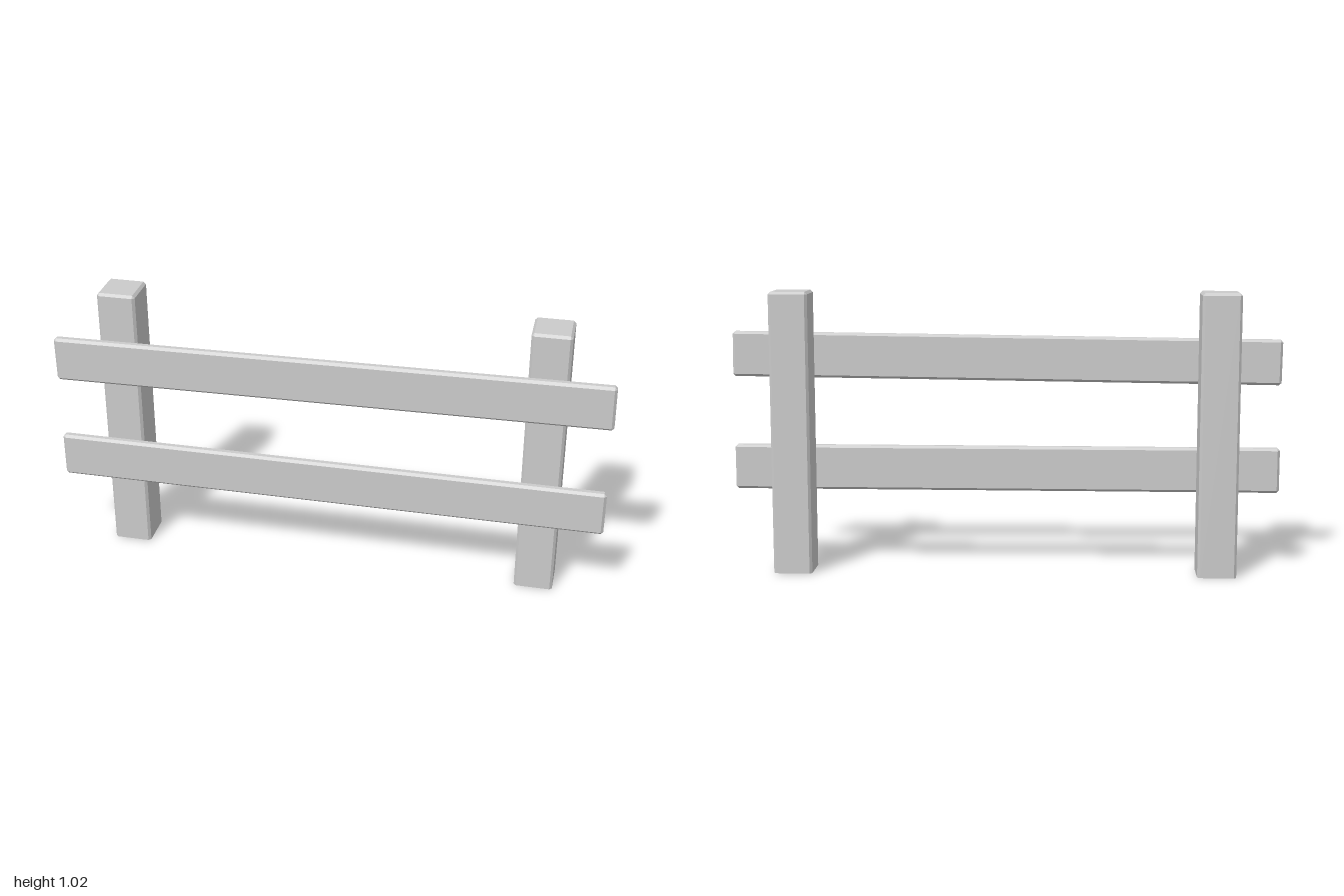
import * as THREE from 'three';
import { ConvexGeometry } from 'three/addons/geometries/ConvexGeometry.js';

// Box with chamfered edges, centred on the origin; the bottom rim may stay sharp
function chamferedBox(w, h, d, c, sharpBottom = false) {
  const [x, y, z] = [w / 2, h / 2, d / 2];
  const points = [];
  for (const sx of [-1, 1]) for (const sy of [-1, 1]) for (const sz of [-1, 1]) {
    const add = (px, py, pz) => points.push(new THREE.Vector3(sx * px, sy * py, sz * pz));
    const sideY = sharpBottom && sy < 0 ? y : y - c;
    add(x, sideY, z - c);
    add(x - c, sideY, z);
    if (sideY < y) add(x - c, y, z - c);
  }
  return new ConvexGeometry(points);
}

export function createModel() {
  const fence = new THREE.Group();
  fence.name = 'fence';
  const material = new THREE.MeshStandardMaterial({ color: 0xcccccc, flatShading: true });

  const addPart = (name, geometry, x, y, z, tilt = 0) => {
    const mesh = new THREE.Mesh(geometry, material);
    mesh.name = name;
    mesh.position.set(x, y, z);
    mesh.rotation.z = tilt;
    fence.add(mesh);
  };

  // Upright posts, flat where they meet the ground
  const postHeight = 1.022;
  const post = chamferedBox(0.14, postHeight, 0.144, 0.009, true);
  addPart('leftPost', post, 0.767, postHeight / 2, -0.018);
  addPart('rightPost', post, -0.767, postHeight / 2, -0.018);

  // Rails across the front; the upper one sits slightly crooked
  const rail = chamferedBox(2, 0.165, 0.034, 0.009);
  addPart('lowerRail', rail, 0, 0.366, 0.075);
  addPart('upperRail', rail, 0, 0.774, 0.075, 0.0115);

  return fence;
}
